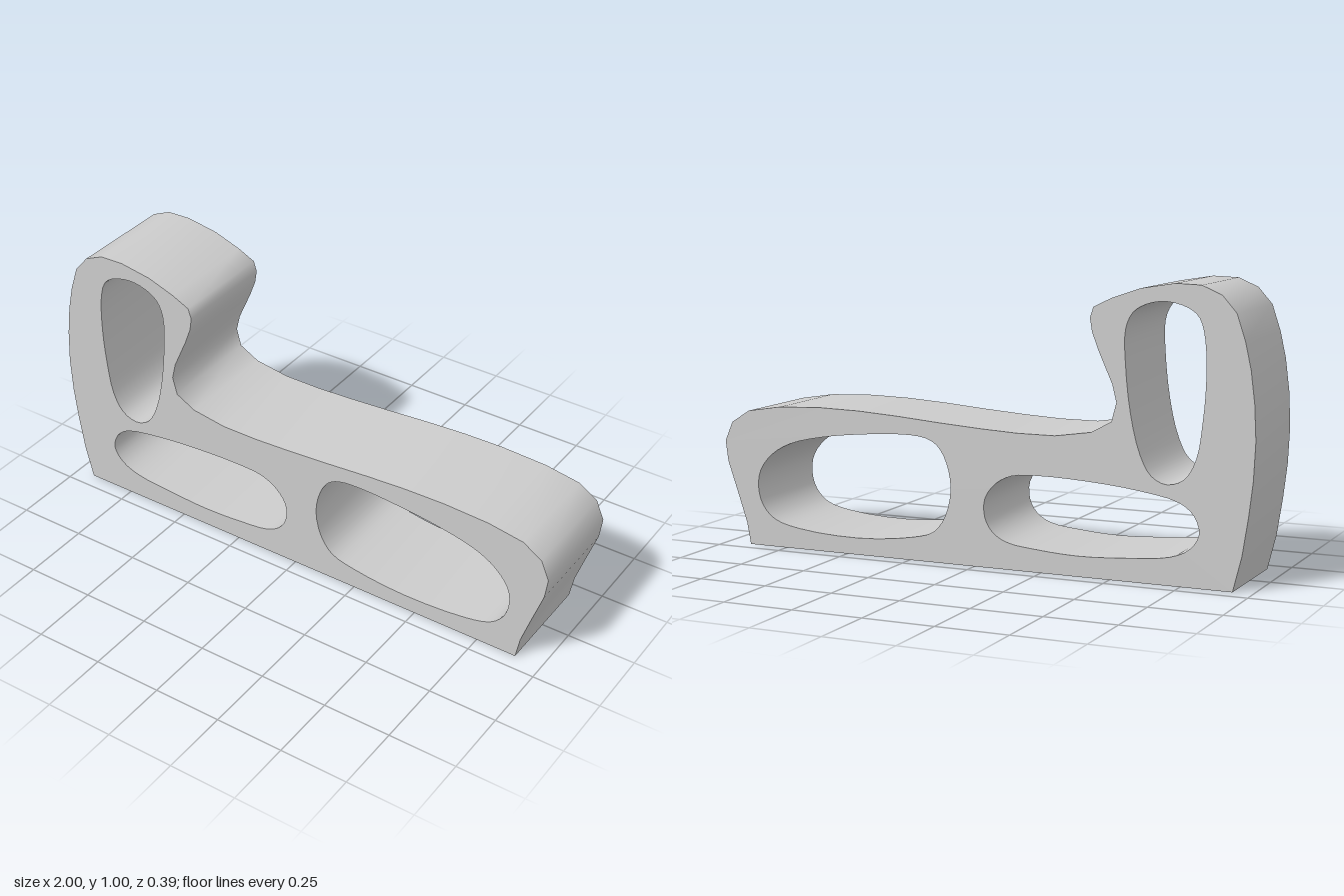
import * as THREE from 'three';
import { toCreasedNormals } from 'three/addons/utils/BufferGeometryUtils.js';

const DEPTH = 0.386;

// side profile, from the lower left corner over the top to the lower right one
const outline = [
  [-0.93, 0], [-0.96, 0.12], [-0.98, 0.25], [-0.994, 0.37], [-1, 0.5], [-0.994, 0.62],
  [-0.98, 0.73], [-0.96, 0.82], [-0.93, 0.91], [-0.88, 0.967], [-0.81, 0.997], [-0.72, 1],
  [-0.6, 0.98], [-0.5, 0.945], [-0.436, 0.914], [-0.424, 0.877], [-0.432, 0.83], [-0.455, 0.77],
  [-0.505, 0.66], [-0.52, 0.6], [-0.503, 0.535], [-0.43, 0.495], [-0.3, 0.475], [-0.16, 0.475],
  [-0.02, 0.482], [0.14, 0.493], [0.3, 0.506], [0.45, 0.515], [0.6, 0.518], [0.77, 0.511],
  [0.9, 0.49], [0.97, 0.445], [1, 0.375], [0.99, 0.3], [0.945, 0.17], [0.915, 0.08], [0.9, 0],
];

// opening in the upright
const uprightHole = [
  [-0.77, 0.92], [-0.69, 0.94], [-0.62, 0.928], [-0.575, 0.9], [-0.55, 0.845], [-0.55, 0.74],
  [-0.57, 0.565], [-0.605, 0.43], [-0.645, 0.362], [-0.7, 0.338], [-0.76, 0.36], [-0.8, 0.43],
  [-0.82, 0.55], [-0.83, 0.685], [-0.825, 0.82], [-0.805, 0.89],
];

// low, long opening under the upright
const lowHole = [
  [-0.813, 0.18], [-0.795, 0.24], [-0.745, 0.28], [-0.61, 0.309], [-0.42, 0.328], [-0.23, 0.334],
  [-0.14, 0.326], [-0.08, 0.295], [-0.04, 0.24], [-0.04, 0.175], [-0.067, 0.128], [-0.12, 0.096],
  [-0.23, 0.08], [-0.39, 0.071], [-0.55, 0.079], [-0.71, 0.096], [-0.78, 0.128],
];

// large opening at the far end of the base
const largeHole = [
  [0.09, 0.265], [0.107, 0.355], [0.14, 0.41], [0.185, 0.435], [0.275, 0.443], [0.435, 0.433],
  [0.6, 0.412], [0.73, 0.38], [0.805, 0.337], [0.853, 0.278], [0.864, 0.214], [0.846, 0.15],
  [0.798, 0.102], [0.7, 0.075], [0.46, 0.06], [0.25, 0.08], [0.158, 0.107], [0.112, 0.166],
];

// closed smooth curve through clockwise [x, y] points, returned counter-clockwise
function smoothLoop(points) {
  const curve = new THREE.CatmullRomCurve3(points.map(([x, y]) => new THREE.Vector3(x, y, 0)), true, 'centripetal');
  const loop = curve.getPoints(points.length * 3).map(p => new THREE.Vector2(p.x, p.y));
  loop.pop();
  return loop.reverse();
}

export function createModel() {
  const group = new THREE.Group();
  group.name = 'steppedHolder';

  // the outline runs clockwise and the openings counter-clockwise, so all walls face outward
  const shape = new THREE.Shape(outline.map(([x, y]) => new THREE.Vector2(x, y)));
  for (const hole of [uprightHole, lowHole, largeHole]) {
    shape.holes.push(new THREE.Path(smoothLoop(hole)));
  }

  const extruded = new THREE.ExtrudeGeometry(shape, { depth: DEPTH, bevelEnabled: false, steps: 1 });
  extruded.translate(0, 0, -DEPTH / 2);

  const body = new THREE.Mesh(
    toCreasedNormals(extruded, THREE.MathUtils.degToRad(60)),
    new THREE.MeshStandardMaterial({ color: 0xcccccc }),
  );
  body.name = 'body';
  group.add(body);
  return group;
}
